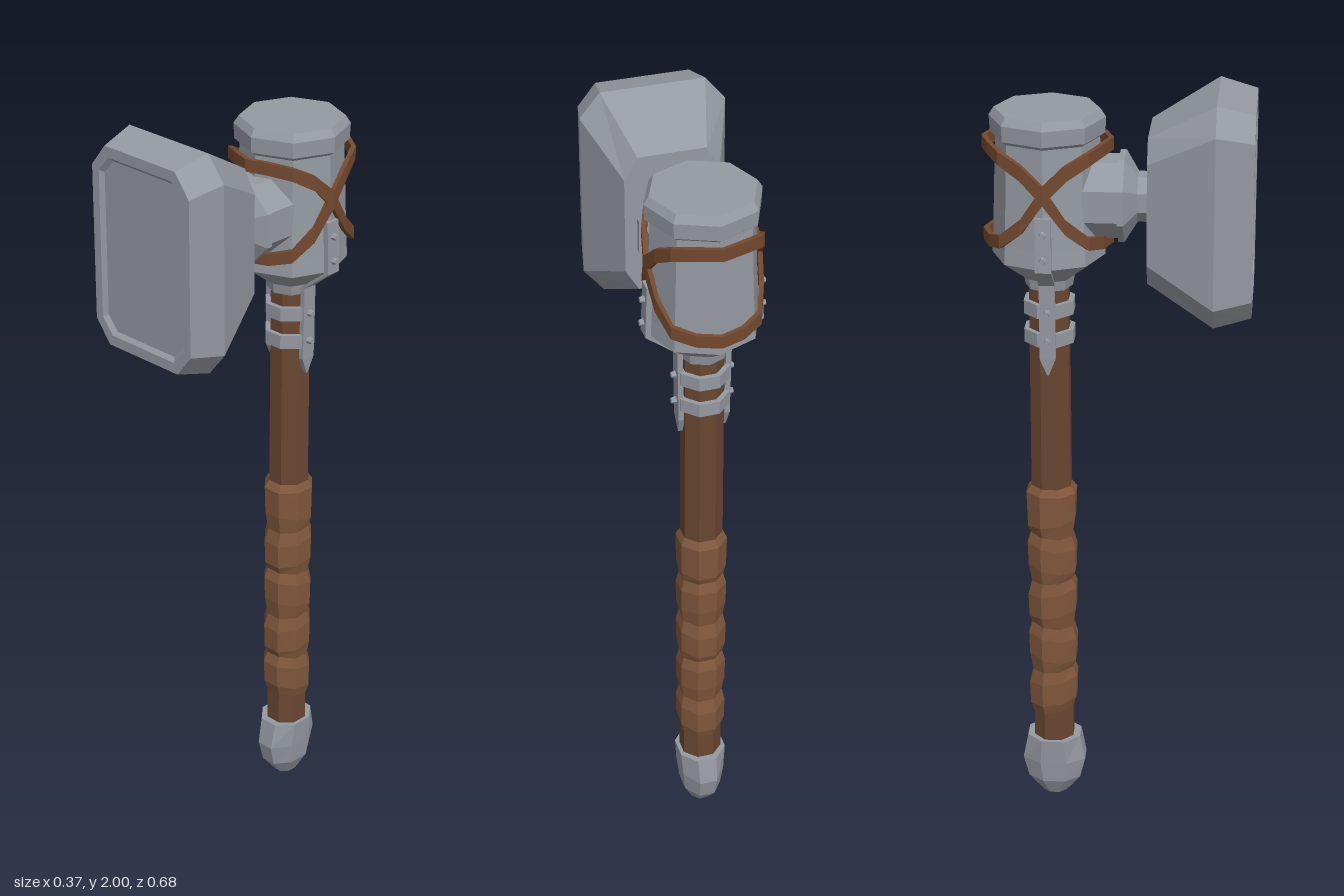
import * as THREE from 'three';

const AXIS_Z = -0.17; // the shaft and barrel stand on this line
const STEEL = 0x9599a1, WOOD = 0x6a4632, LEATHER = 0x80573c, STRAP = 0x74492f;
const V = (x, y, z) => new THREE.Vector3(x, y, z);

// Joins equal-length cross-sections into a solid; closed joins the last to the first.
function loft(rings, closed = false) {
  const n = rings[0].length, m = rings.length, index = [];
  const pts = rings.flat();
  for (let i = 0; i < (closed ? m : m - 1); i++) {
    for (let j = 0; j < n; j++) {
      const k = (j + 1) % n, u = ((i + 1) % m) * n;
      index.push(i * n + j, i * n + k, u + k, i * n + j, u + k, u + j);
    }
  }
  if (!closed) {
    const e = (m - 1) * n;
    for (let j = 1; j < n - 1; j++) index.push(0, j + 1, j, e, e + j, e + j + 1);
  }
  // Turn the faces outward
  let volume = 0;
  for (let i = 0; i < index.length; i += 3) {
    volume += pts[index[i]].dot(V(0, 0, 0).crossVectors(pts[index[i + 1]], pts[index[i + 2]]));
  }
  if (volume < 0) index.reverse();
  const g = new THREE.BufferGeometry().setFromPoints(pts);
  g.setIndex(index);
  const flat = g.toNonIndexed();
  flat.computeVertexNormals();
  return flat;
}

// Eight-sided section around the y axis
function octagon(y, rx, rz = rx, phase = Math.PI / 8, tilt = 0) {
  return Array.from({ length: 8 }, (_, i) => {
    const a = phase + (i * Math.PI) / 4;
    return V(Math.sin(a) * rx, y + Math.cos(a) * tilt, Math.cos(a) * rz);
  });
}

// Rectangle with cut corners, facing z
function cutRect(z, w, h, c, d = c) {
  const y = 1.717;
  return [[w, h - d], [w - c, h], [c - w, h], [-w, h - d], [-w, d - h], [c - w, -h], [w - c, -h], [w, d - h]]
    .map(([px, py]) => V(px, y + py, z));
}

export function createModel() {
  const model = new THREE.Group();
  const mats = {};
  const add = (name, geometry, color, parent = model) => {
    mats[color] ??= new THREE.MeshStandardMaterial({ color, flatShading: true });
    const mesh = new THREE.Mesh(geometry, mats[color]);
    mesh.name = name;
    parent.add(mesh);
    return mesh;
  };

  // Striking block, with a shallow recessed panel on its face
  add('hammerHead', loft([
    cutRect(0.083, 0.121, 0.187, 0.034, 0.058),
    cutRect(0.25, 0.186, 0.283, 0.052, 0.064),
    cutRect(0.344, 0.166, 0.259, 0.046, 0.058),
    cutRect(0.344, 0.143, 0.232, 0.035, 0.04),
    cutRect(0.334, 0.133, 0.222, 0.032, 0.036),
  ]), STEEL);

  // Everything else is built round the shaft
  const shaft = new THREE.Group();
  shaft.name = 'shaftAssembly';
  shaft.position.z = AXIS_Z;
  model.add(shaft);

  // Neck between barrel and block
  const neck = add('neck', loft(
    [[0.06, 0.105], [0.178, 0.105], [0.178, 0.115], [0.193, 0.115], [0.225, 0.063], [0.26, 0.063]]
      .map(([z, r]) => octagon(z, r))), STEEL, shaft);
  neck.rotation.x = Math.PI / 2;
  neck.position.y = 1.728;

  // Upright barrel with its cap and tapered foot
  add('barrel', loft(
    [[1.49, 0.06], [1.517, 0.065], [1.535, 0.09], [1.575, 0.143], [1.62, 0.14], [1.88, 0.13],
      [1.89, 0.143], [1.93, 0.145], [1.95, 0.132]]
      .map(([y, r]) => octagon(y, r, r, 0))), STEEL, shaft);

  // Wooden handle
  add('handle', loft([octagon(0.12, 0.057), octagon(1.52, 0.054)]), WOOD, shaft);

  // Leather grip: wrapped, slightly slanted swellings
  const grip = [octagon(0.265, 0.056, 0.056, Math.PI / 8, 0.012)];
  for (let i = 0; i < 5; i++) {
    const y = 0.275 + i * 0.134, s = i % 2 ? -0.01 : 0.012;
    grip.push(octagon(y + 0.02, 0.065, 0.067, Math.PI / 8, s));
    grip.push(octagon(y + 0.085, 0.066, 0.069, Math.PI / 8, s));
    if (i < 4) grip.push(octagon(y + 0.118, 0.058, 0.058, Math.PI / 8, s / 2));
  }
  grip.push(octagon(0.918, 0.066, 0.07), octagon(0.938, 0.055));
  add('grip', loft(grip), LEATHER, shaft);

  // Pommel, deeper than it is wide
  add('pommel', loft([
    octagon(0, 0.028, 0.034), octagon(0.05, 0.055, 0.076), octagon(0.11, 0.062, 0.092),
    octagon(0.183, 0.068, 0.077),
  ]), STEEL, shaft);

  // Bands round the handle
  for (const y of [1.36, 1.437]) {
    add('band', loft([octagon(y - 0.018, 0.068), octagon(y + 0.018, 0.068)]), STEEL, shaft);
  }

  // Side plates follow the barrel down to a pointed tip, held by bolts
  const plate = [[0.062, 1.265, 0.002], [0.066, 1.31, 0.02], [0.069, 1.51, 0.02],
    [0.1, 1.535, 0.02], [0.149, 1.572, 0.02], [0.144, 1.71, 0.02]];
  for (const side of [1, -1]) {
    add('sidePlate', loft(plate.map(([x, y, w]) => [
      V(side * x, y, w), V(side * x, y, -w), V(side * (x - 0.014), y, -w), V(side * (x - 0.014), y, w),
    ])), STEEL, shaft);
    for (const [x, y] of [[0.07, 1.36], [0.07, 1.437], [0.149, 1.605], [0.147, 1.67]]) {
      const bolt = add('bolt', new THREE.CylinderGeometry(0.007, 0.01, 0.014, 6), STEEL, shaft);
      bolt.rotation.z = -side * Math.PI / 2;
      bolt.position.set(side * (x + 0.003), y, 0);
    }
  }

  // Two tilted straps that cross on each side of the barrel
  for (const dir of [1, -1]) {
    const rings = [];
    for (let i = 0; i < 16; i++) {
      const a = (i * Math.PI) / 8, c = Math.cos(a) * dir;
      const lift = Math.sin(c * Math.PI / 2);
      const y = 1.768 + lift * (c > 0 ? 0.095 : 0.145);
      const r = (0.146 + 0.018 * Math.abs(c)) * (i % 2 ? 0.955 : 1);
      const h = 0.016 + 0.008 * (1 - Math.abs(lift));
      rings.push([[r, h], [r, -h], [r - 0.012, -h], [r - 0.012, h]]
        .map(([q, dy]) => V(Math.sin(a) * q, y + dy, Math.cos(a) * q)));
    }
    add('crossStrap', loft(rings, true), STRAP, shaft);
  }
  return model;
}
